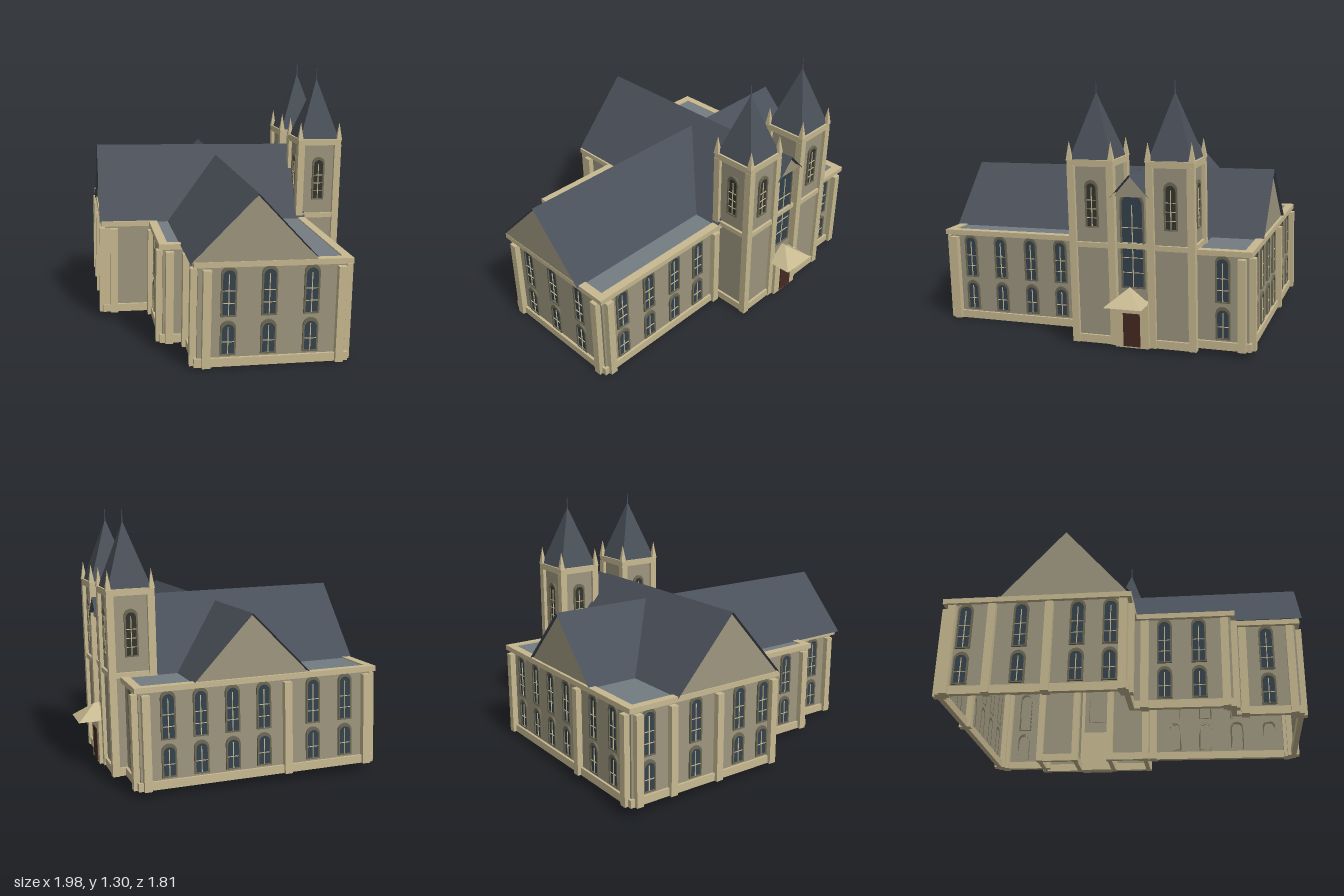
import * as THREE from 'three';

const mat = (color) => new THREE.MeshStandardMaterial({ color, side: THREE.DoubleSide, flatShading: true });
const WALL = mat(0x9c957e), TRIM = mat(0xc6b890), ROOF = mat(0x4a5059), FLAT = mat(0x737c81);
const GLASS = mat(0x34424d), FRAME = mat(0x6e6955), DOOR = mat(0x452a20), LOUVRE = mat(0x35352f);

const EAVE = 0.483;
// Facing angles: which way an item's own +z points
const POS_X = Math.PI / 2, NEG_X = -Math.PI / 2, POS_Z = 0, NEG_Z = Math.PI;

function add(parent, name, geometry, material, x = 0, y = 0, z = 0, ry = 0) {
  const mesh = new THREE.Mesh(geometry, material);
  mesh.name = name;
  mesh.position.set(x, y, z);
  mesh.rotation.y = ry;
  parent.add(mesh);
  return mesh;
}

function box(parent, name, material, w, h, d, x, y, z, ry = 0) {
  return add(parent, name, new THREE.BoxGeometry(w, h, d), material, x, y, z, ry);
}

// Geometry from loose corner points, three per triangle
function triangles(points) {
  const g = new THREE.BufferGeometry();
  g.setAttribute('position', new THREE.Float32BufferAttribute(points.flat(), 3));
  g.computeVertexNormals();
  return g;
}

// Upright walls along a plan line of [x, z] points
function walls(parent, name, plan, height) {
  const p = [];
  for (let i = 0; i + 1 < plan.length; i++) {
    const [ax, az] = plan[i], [bx, bz] = plan[i + 1];
    const a = [ax, 0, az], b = [bx, 0, bz], c = [bx, height, bz], d = [ax, height, az];
    p.push(a, b, c, a, c, d);
  }
  add(parent, name, triangles(p), WALL);
}

// Horizontal moulding following the same plan line
function band(parent, name, plan, y, height, depth) {
  for (let i = 0; i + 1 < plan.length; i++) {
    const [ax, az] = plan[i], [bx, bz] = plan[i + 1];
    const length = Math.hypot(bx - ax, bz - az);
    box(parent, name, TRIM, length + depth, height, depth,
      (ax + bx) / 2, y, (az + bz) / 2, -Math.atan2(bz - az, bx - ax));
  }
}

// Saddle roof running along its own x, with recessed gable walls
function saddleRoof(parent, name, from, to, half, eave, ridge, x, z, ry, inset = 0.014) {
  const g = new THREE.Group();
  g.name = name;
  g.position.set(x, 0, z);
  g.rotation.y = ry;
  parent.add(g);
  const p = [];
  for (const s of [1, -1]) {
    const a = [from, eave, s * half], b = [to, eave, s * half], c = [to, ridge, 0], d = [from, ridge, 0];
    if (s > 0) p.push(a, b, c, a, c, d);
    else p.push(b, a, d, b, d, c);
  }
  add(g, 'roofSlopes', triangles(p), ROOF);
  const w = half - 0.008, top = ridge - 0.009;
  const lo = from + inset, hi = to - inset;
  add(g, 'gables', triangles([
    [lo, eave, -w], [lo, eave, w], [lo, top, 0],
    [hi, eave, w], [hi, eave, -w], [hi, top, 0]]), WALL);
}

function archPath(path, w, h) {
  const r = w / 2;
  path.moveTo(-r, 0);
  path.lineTo(r, 0);
  path.lineTo(r, h - r);
  path.absarc(0, h - r, r, 0, Math.PI, false);
  path.lineTo(-r, 0);
  return path;
}

// Round-headed window with frame, mullion and cross bars
function archWindow(parent, x, z, ry, y, w, h, pane = GLASS, bars = 2) {
  const g = new THREE.Group();
  g.name = 'window';
  g.position.set(x, y, z);
  g.rotation.y = ry;
  parent.add(g);
  add(g, 'glass', new THREE.ShapeGeometry(archPath(new THREE.Shape(), w, h), 8), pane, 0, 0, 0.004);
  const ring = archPath(new THREE.Shape(), w + 0.016, h + 0.016);
  const hole = archPath(new THREE.Path(), w, h - 0.006);
  hole.curves.forEach((c) => {
    if (c.isLineCurve) { c.v1.y += 0.006; c.v2.y += 0.006; } else c.aY += 0.006;
  });
  ring.holes.push(hole);
  add(g, 'frame', new THREE.ExtrudeGeometry(ring, { depth: 0.01, bevelEnabled: false, curveSegments: 8 }), FRAME, 0, -0.004, 0);
  box(g, 'mullion', TRIM, 0.004, h * 0.88, 0.004, 0, h * 0.44, 0.006);
  for (let i = 1; i <= bars; i++) {
    box(g, 'crossBar', TRIM, w, 0.003, 0.004, 0, (h * 0.8 * i) / (bars + 1), 0.006);
  }
}

// Short window below, tall window above
function windowPair(parent, x, z, ry) {
  archWindow(parent, x, z, ry, 0.055, 0.056, 0.145, GLASS, 1);
  archWindow(parent, x, z, ry, 0.235, 0.056, 0.215, GLASS, 2);
}

function buttress(parent, x, z, ry) {
  box(parent, 'buttress', TRIM, 0.038, 0.45, 0.06, x, 0.225, z, ry);
}

function tower(parent, x, z, faces) {
  const g = new THREE.Group();
  g.name = 'tower';
  g.position.set(x, 0, z);
  parent.add(g);
  const r = 0.1;
  const plan = [[-r, -r], [r, -r], [r, r], [-r, r], [-r, -r]];
  walls(g, 'towerWalls', plan, 0.9);
  band(g, 'towerPlinth', plan, 0.02, 0.04, 0.024);
  band(g, 'towerString', plan, 0.495, 0.025, 0.026);
  band(g, 'towerCornice', plan, 0.893, 0.032, 0.034);
  for (const [px, pz] of plan.slice(0, 4)) {
    box(g, 'cornerPier', TRIM, 0.036, 0.88, 0.036, px, 0.44, pz);
    add(g, 'pinnacle', new THREE.ConeGeometry(0.02, 0.095, 4), TRIM, px * 1.06, 0.952, pz * 1.06, Math.PI / 4);
  }
  add(g, 'spire', new THREE.ConeGeometry(0.107 * Math.SQRT2, 0.315, 4), ROOF, 0, 1.065, 0, Math.PI / 4);
  add(g, 'finial', new THREE.CylinderGeometry(0.002, 0.004, 0.07, 5), ROOF, 0, 1.24, 0);
  for (const a of faces) {
    archWindow(g, Math.sin(a) * r, Math.cos(a) * r, a, 0.585, 0.05, 0.215, LOUVRE, 3);
  }
}

export function createModel() {
  const model = new THREE.Group();
  model.name = 'church';
  const church = new THREE.Group();
  church.name = 'building';
  // The church stands diagonally with a slight lean
  church.rotation.order = 'ZYX';
  church.rotation.set(0, 0.81, -0.027);
  church.position.y = 0.028;
  model.add(church);

  // Body: outer walls, mouldings and the flat aisle roof
  const plan = [[0.53, -0.45], [0.53, -0.725], [-0.645, -0.725], [-0.645, 0.14], [-0.4, 0.14],
    [-0.4, 0.615], [-0.285, 0.615], [-0.285, 0.93], [0.4, 0.93], [0.4, 0.1]];
  walls(church, 'bodyWalls', plan, EAVE);
  band(church, 'plinth', plan, 0.02, 0.04, 0.026);
  band(church, 'cornice', plan, 0.475, 0.026, 0.042);
  const flat = new THREE.Shape([...plan, [0.4, -0.45]].map(([x, z]) => new THREE.Vector2(x, -z)));
  add(church, 'aisleRoof', new THREE.ShapeGeometry(flat).rotateX(-Math.PI / 2), FLAT, 0, EAVE - 0.001, 0);

  // Main roof, crossing roof and the narrow roof between the towers
  saddleRoof(church, 'mainRoof', -0.674, 0.42, 0.318, EAVE, 0.842, 0, -0.163, 0);
  saddleRoof(church, 'crossRoof', -0.963, 0.745, 0.295, EAVE, 0.79, -0.027, 0, Math.PI / 2);
  saddleRoof(church, 'porchBayRoof', 0.4, 0.615, 0.096, 0.735, 0.842, 0, -0.172, 0, 0.02);

  // Windows on each side
  for (const z of [-0.63, -0.36, -0.09, 0.065]) windowPair(church, -0.645, z, NEG_X);
  for (const x of [0.392, 0.235, 0.078, -0.08, -0.335, -0.506]) windowPair(church, x, -0.725, NEG_Z);
  for (const x of [-0.145, 0.04, 0.235]) windowPair(church, x, 0.93, POS_Z);
  for (const z of [0.29, 0.46, 0.635, 0.81]) windowPair(church, 0.4, z, POS_X);
  for (const z of [0.295, 0.46]) windowPair(church, -0.4, z, NEG_X);
  windowPair(church, -0.285, 0.785, NEG_X);
  windowPair(church, 0.53, -0.6, POS_X);

  // Buttresses, in pairs at the corners
  for (const z of [-0.695, -0.5, -0.225, 0.125]) buttress(church, -0.645, z, NEG_X);
  for (const x of [0.5, -0.198, -0.615]) buttress(church, x, -0.725, NEG_Z);
  for (const x of [-0.245, 0.37]) buttress(church, x, 0.93, POS_Z);
  for (const z of [0.9, 0.17]) buttress(church, 0.4, z, POS_X);
  for (const z of [0.2, 0.585]) buttress(church, -0.4, z, NEG_X);
  for (const z of [0.67, 0.9]) buttress(church, -0.285, z, NEG_X);
  buttress(church, -0.6, 0.14, POS_Z);
  buttress(church, -0.37, 0.615, POS_Z);
  buttress(church, 0.53, -0.695, POS_X);

  // Twin towers
  tower(church, 0.49, -0.37, [POS_X, NEG_Z, NEG_X]);
  tower(church, 0.49, 0.026, [POS_X, POS_Z, NEG_X]);

  // Entrance bay between the towers
  const mid = -0.172;
  walls(church, 'entranceBay', [[0.575, mid - 0.1], [0.575, mid + 0.1]], 0.737);
  archWindow(church, 0.575, mid, POS_X, 0.29, 0.104, 0.46, GLASS, 4);
  box(church, 'transom', TRIM, 0.02, 0.025, 0.19, 0.578, 0.495, mid);
  box(church, 'doorSurround', TRIM, 0.06, 0.225, 0.17, 0.595, 0.1125, mid);
  box(church, 'door', DOOR, 0.01, 0.165, 0.085, 0.624, 0.09, mid);

  // Hipped canopy over the door
  const y0 = 0.222, y1 = 0.297, a = 0.6, b = 0.722, w = 0.095;
  const apex = [0.622, y1, 0], back = [a, y1, 0];
  const A = [a, y0, -w], B = [b, y0, -w], C = [b, y0, w], D = [a, y0, w];
  add(church, 'canopy', triangles([B, apex, C, A, apex, B, C, apex, D, A, back, apex, D, apex, back,
    A, B, C, A, C, D]), TRIM, 0, 0, mid + 0.012);
  return model;
}
